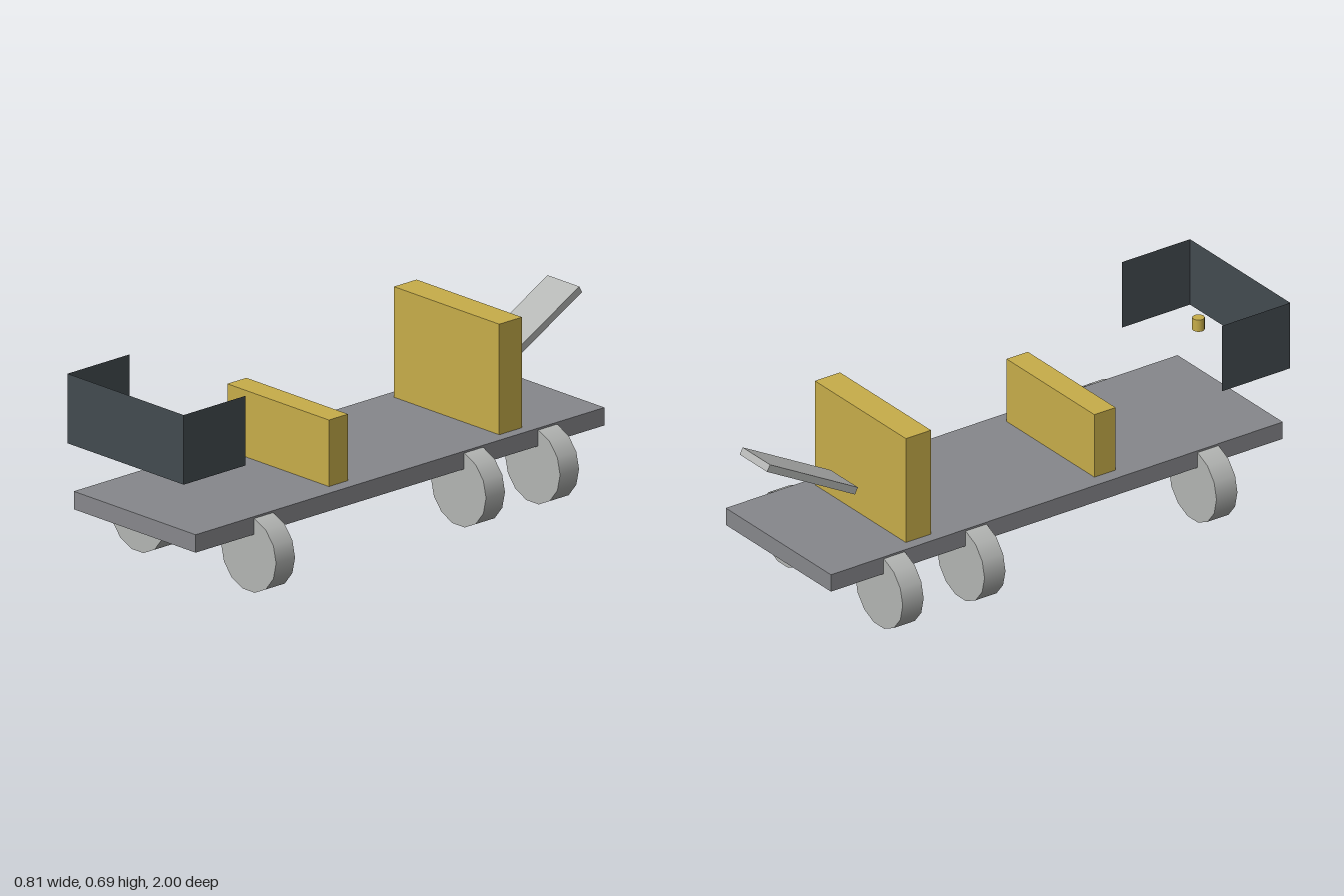
import * as THREE from 'three';

const mat = (name, color, side = THREE.FrontSide) => {
  const m = new THREE.MeshStandardMaterial({ color, side });
  m.name = name;
  return m;
};

export function createModel() {
  const group = new THREE.Group();
  const deckGrey = mat('deck grey', 0x87888c);
  const lightGrey = mat('light grey', 0xb4b6b4);
  const gold = mat('gold', 0xc8ae4a);
  const slate = mat('dark slate', 0x434b50, THREE.DoubleSide);

  const add = (name, geometry, material, x, y, z) => {
    const mesh = new THREE.Mesh(geometry, material);
    mesh.name = name;
    mesh.position.set(x, y, z);
    group.add(mesh);
    return mesh;
  };
  // Box given by its full width and its y and z ranges, centred on x = 0
  const slab = (name, material, w, y0, y1, z0, z1) =>
    add(name, new THREE.BoxGeometry(w, y1 - y0, z1 - z0), material, 0, (y0 + y1) / 2, (z0 + z1) / 2);

  // Deck and the two upright seat boards
  slab('deck', deckGrey, 0.592, 0.205, 0.268, -0.897, 0.959);
  slab('frontSeat', gold, 0.494, 0.268, 0.502, 0.221, 0.308);
  slab('rearSeat', gold, 0.512, 0.268, 0.657, -0.56, -0.457);

  // Three pairs of wheels, with their axes along z
  const wheel = new THREE.CylinderGeometry(0.1335, 0.1335, 0.086, 14, 1, false, Math.PI / 2);
  wheel.rotateX(Math.PI / 2);
  for (const [label, z] of [['front', 0.651], ['middle', -0.302], ['rear', -0.638]]) {
    for (const side of [1, -1]) {
      add(label + (side > 0 ? 'LeftWheel' : 'RightWheel'), wheel, lightGrey, side * 0.2705, 0.131, z);
    }
  }

  // Sloping rear plate
  add('rearPlate', new THREE.BoxGeometry(0.154, 0.026, 0.411), lightGrey, 0, 0.506, -0.813)
    .rotation.x = THREE.MathUtils.degToRad(28.5);

  // Open three-sided front screen of thin sheets
  add('frontScreen', new THREE.PlaneGeometry(0.564, 0.245), slate, 0, 0.573, 1);
  for (const side of [1, -1]) {
    add(side > 0 ? 'leftScreen' : 'rightScreen', new THREE.PlaneGeometry(0.28, 0.245), slate,
      side * 0.282, 0.573, 0.86).rotation.y = side * Math.PI / 2;
  }

  // Small knob behind the screen
  add('knob', new THREE.CylinderGeometry(0.021, 0.021, 0.044, 12), gold, 0, 0.553, 0.829);

  return group;
}
